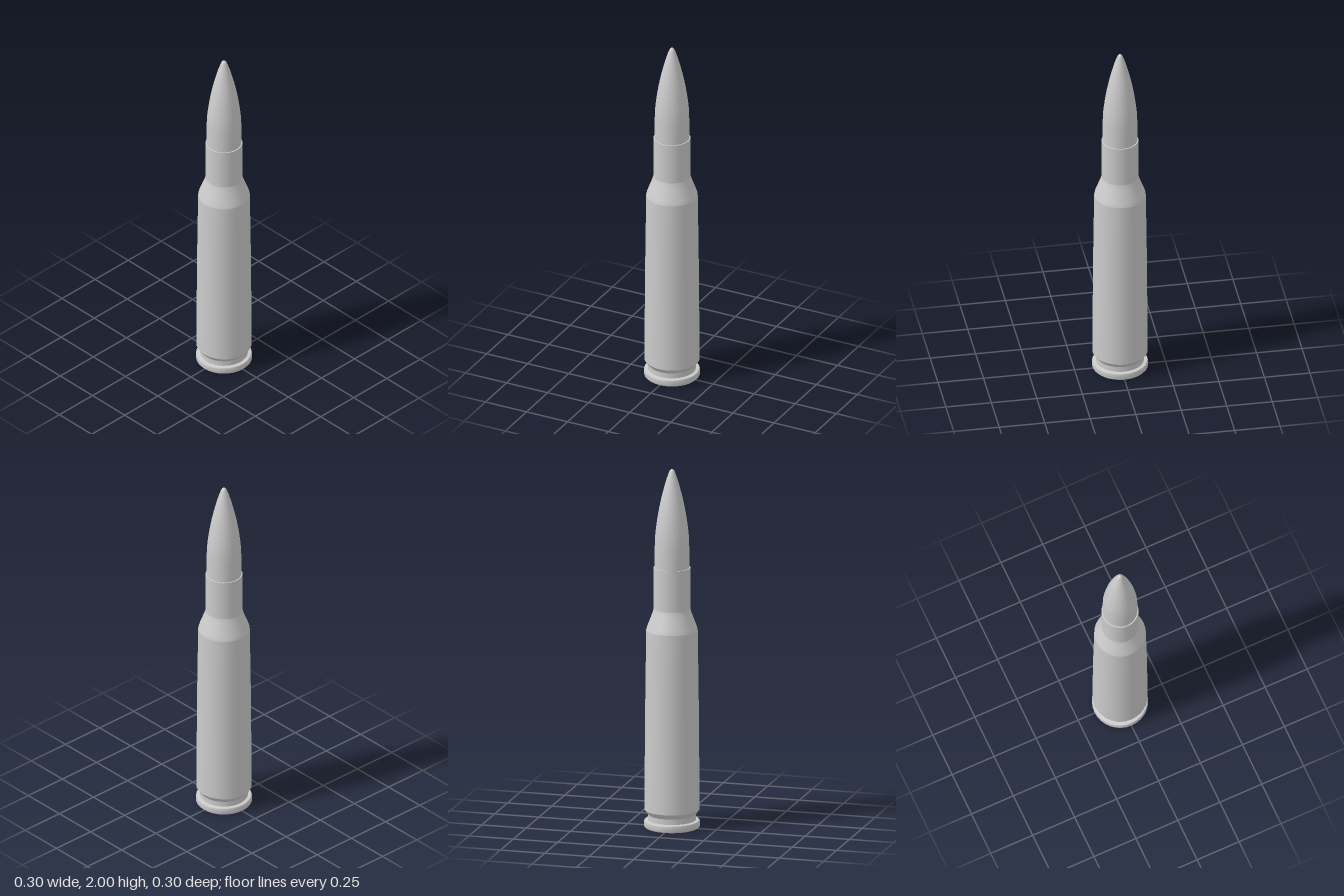
import * as THREE from 'three';

const SIDES = 32;
const material = new THREE.MeshStandardMaterial({ color: 0xcccccc });

// Revolves each profile run separately, so edges between runs stay sharp.
// Points are [radius, y], running outward and upward from the base.
function turned(name, runs) {
  const part = new THREE.Group();
  part.name = name;
  runs.forEach((run, i) => {
    const points = run.map(([r, y]) => new THREE.Vector2(r, y));
    const mesh = new THREE.Mesh(new THREE.LatheGeometry(points, SIDES), material);
    mesh.name = `${name}Surface${i + 1}`;
    part.add(mesh);
  });
  return part;
}

export function createModel() {
  const model = new THREE.Group();
  model.name = 'cartridge';

  // Recessed primer in the middle of the base
  model.add(turned('primer', [
    [[0, 0.012], [0.06, 0.012]],
    [[0.06, 0.012], [0.062, 0]],
  ]));

  // Base plate and rim
  model.add(turned('rim', [
    [[0.062, 0], [0.145, 0]],
    [[0.145, 0], [0.152, 0.008], [0.152, 0.034], [0.148, 0.04]],
    [[0.148, 0.04], [0.13, 0.042]],
  ]));

  // Extractor groove, tapered body, shoulder and neck
  model.add(turned('case', [
    [[0.13, 0.042], [0.13, 0.072]],
    [[0.13, 0.072], [0.15, 0.1]],
    [[0.15, 0.1], [0.148, 0.4], [0.145, 0.75], [0.14, 1.1]],
    [[0.14, 1.1], [0.134, 1.122], [0.106, 1.195], [0.1, 1.22]],
    [[0.1, 1.22], [0.1, 1.45]],
    [[0.1, 1.45], [0.094, 1.45]],
  ]));

  // Pointed bullet with a small rounded tip
  const ogive = new THREE.SplineCurve([
    [0.094, 1.45], [0.093, 1.6], [0.083, 1.7], [0.066, 1.8],
    [0.042, 1.9], [0.024, 1.96], [0.012, 1.99], [0, 2],
  ].map(([r, y]) => new THREE.Vector2(r, y)));
  model.add(turned('bullet', [
    ogive.getPoints(28).map((p) => [Math.max(p.x, 0), p.y]),
  ]));

  return model;
}
